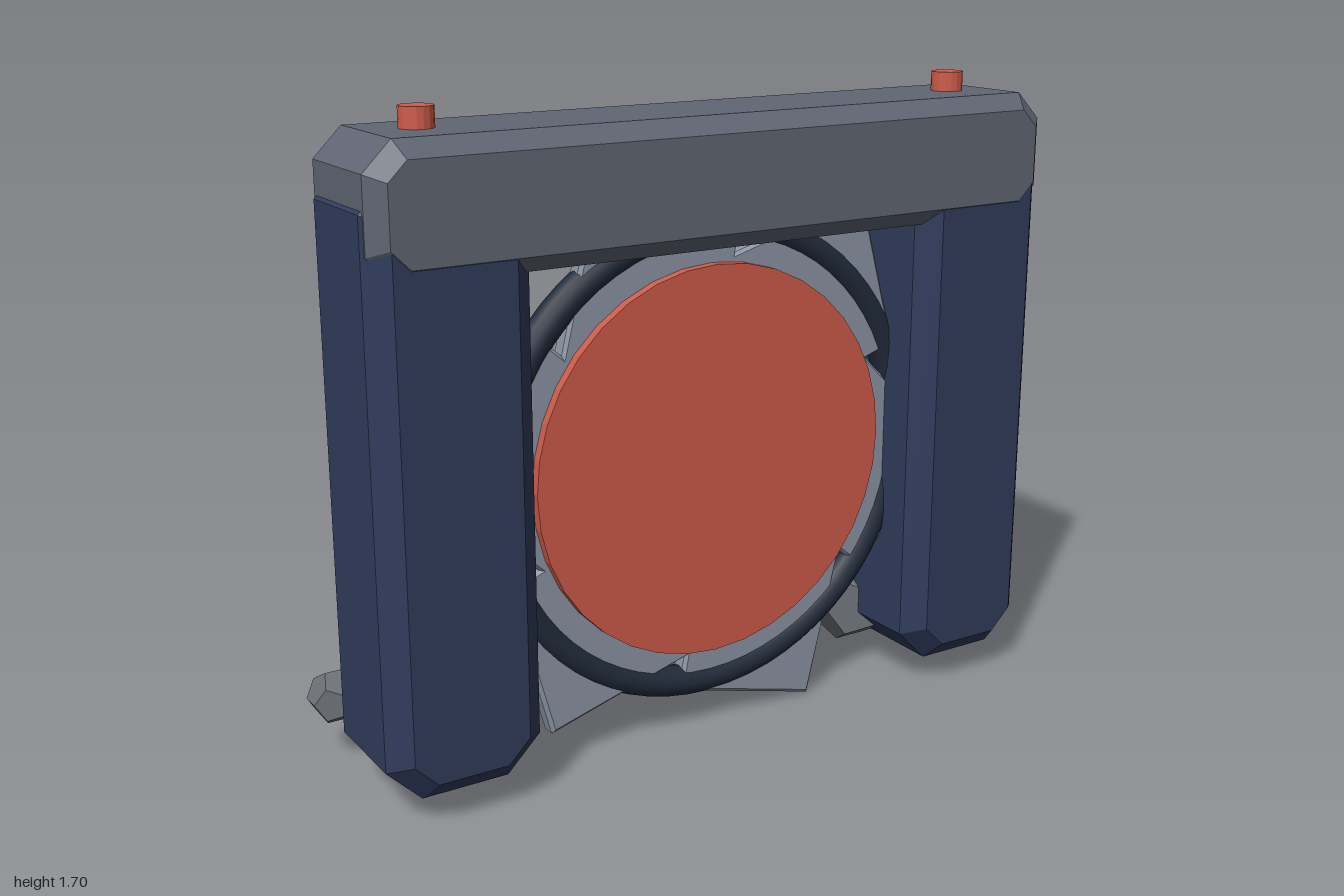
import * as THREE from 'three';

const MID_Z = 0.128;   // centre plane of the gate
const HUB_Y = 0.743;   // centre of the wheel

const paint = (color, flatShading = true) =>
  new THREE.MeshStandardMaterial({ color, flatShading });

const navy = paint(0x303c5b);
const steel = paint(0x5f6673);
const rubber = paint(0x222c3b, false);
const blade = paint(0x8c96a4);
const red = paint(0xcf5c4a);
const amber = paint(0xc9962f);
const stone = paint(0x6c6f75);

function addMesh(parent, name, geometry, material, x = 0, y = 0, z = 0) {
  const mesh = new THREE.Mesh(geometry, material);
  mesh.name = name;
  mesh.position.set(x, y, z);
  parent.add(mesh);
  return mesh;
}

// Extrudes a shape to a total depth, centred on z, keeping its outline size
function bevelled(shape, depth, bevel) {
  const geometry = new THREE.ExtrudeGeometry(shape, {
    depth: depth - 2 * bevel,
    bevelSize: bevel,
    bevelThickness: bevel,
    bevelOffset: -bevel,
    bevelSegments: 1,
  });
  return geometry.translate(0, 0, bevel - depth / 2);
}

// Block with cut corners in outline and bevelled front and back edges
function chamferedBlock(w, h, d, cut, bevel) {
  const x = w / 2, y = h / 2;
  const outline = [
    [x - cut, -y], [x, cut - y], [x, y - cut], [x - cut, y],
    [cut - x, y], [-x, y - cut], [-x, cut - y], [cut - x, -y],
  ].map(([a, b]) => new THREE.Vector2(a, b));
  return bevelled(new THREE.Shape(outline), d, bevel);
}

const polar = (radius, degrees) => new THREE.Vector2(
  radius * Math.cos(THREE.MathUtils.degToRad(degrees)),
  radius * Math.sin(THREE.MathUtils.degToRad(degrees)));

// Six-toothed blade with a hexagonal hole in the middle
function sawShape() {
  const outline = [];
  for (let i = 0; i < 6; i++) {
    const a = i * 60;
    outline.push(polar(0.545, a + 22), polar(0.64, a + 21.4), polar(0.814, a + 54));
  }
  const shape = new THREE.Shape(outline);
  const hole = [];
  for (let i = 0; i < 6; i++) hole.push(polar(0.055, -i * 60));
  shape.holes.push(new THREE.Path(hole));
  return shape;
}

export function createModel() {
  const model = new THREE.Group();
  model.name = 'sawGate';

  // Pillars and the lamps above them
  const pillarGeometry = chamferedBlock(0.41, 1.51, 0.366, 0.09, 0.053);
  const lampGeometry = new THREE.CylinderGeometry(0.042, 0.042, 0.07, 16);
  for (const side of [-1, 1]) {
    const prefix = side > 0 ? 'left' : 'right';
    addMesh(model, prefix + 'Pillar', pillarGeometry, navy, side * 0.775, 0.825, MID_Z);
    addMesh(model, prefix + 'Lamp', lampGeometry, red, side * 0.775, 1.667, MID_Z - 0.005);
  }

  // Crossbeam
  addMesh(model, 'crossbeam', chamferedBlock(1.945, 0.326, 0.37, 0.072, 0.042),
    steel, 0, 1.488, MID_Z);

  // Slanted warning marks along the back of the beam
  const markGeometry = new THREE.BoxGeometry(0.085, 0.055, 0.01);
  for (let i = 0; i < 10; i++) {
    const mark = addMesh(model, 'warningMark', markGeometry, amber,
      (i - 4.5) * 0.155, 1.5, -0.058);
    mark.rotation.z = 0.3;
  }

  // Wheel: ring, toothed blade and front disc
  const wheel = new THREE.Group();
  wheel.name = 'wheel';
  wheel.position.set(0, HUB_Y, MID_Z);
  model.add(wheel);
  addMesh(wheel, 'ring', new THREE.TorusGeometry(0.618, 0.042, 12, 64), rubber);
  addMesh(wheel, 'sawBlade', bevelled(sawShape(), 0.056, 0.01), blade);
  const disc = new THREE.CylinderGeometry(0.523, 0.523, 0.03, 36).rotateX(Math.PI / 2);
  addMesh(wheel, 'frontDisc', disc, red, 0, 0, 0.04);

  // Row of rocks along the back: radius and z of each
  const rocks = [
    [0.075, -0.187], [0.107, -0.03], [0.139, -0.186], [0.075, -0.03],
    [0.107, -0.186], [0.137, -0.03], [0.075, -0.187],
  ];
  rocks.forEach(([radius, z], i) =>
    addMesh(model, 'rock', new THREE.DodecahedronGeometry(radius), stone,
      (i - 3) * 0.309, 0.17, z));

  return model;
}
